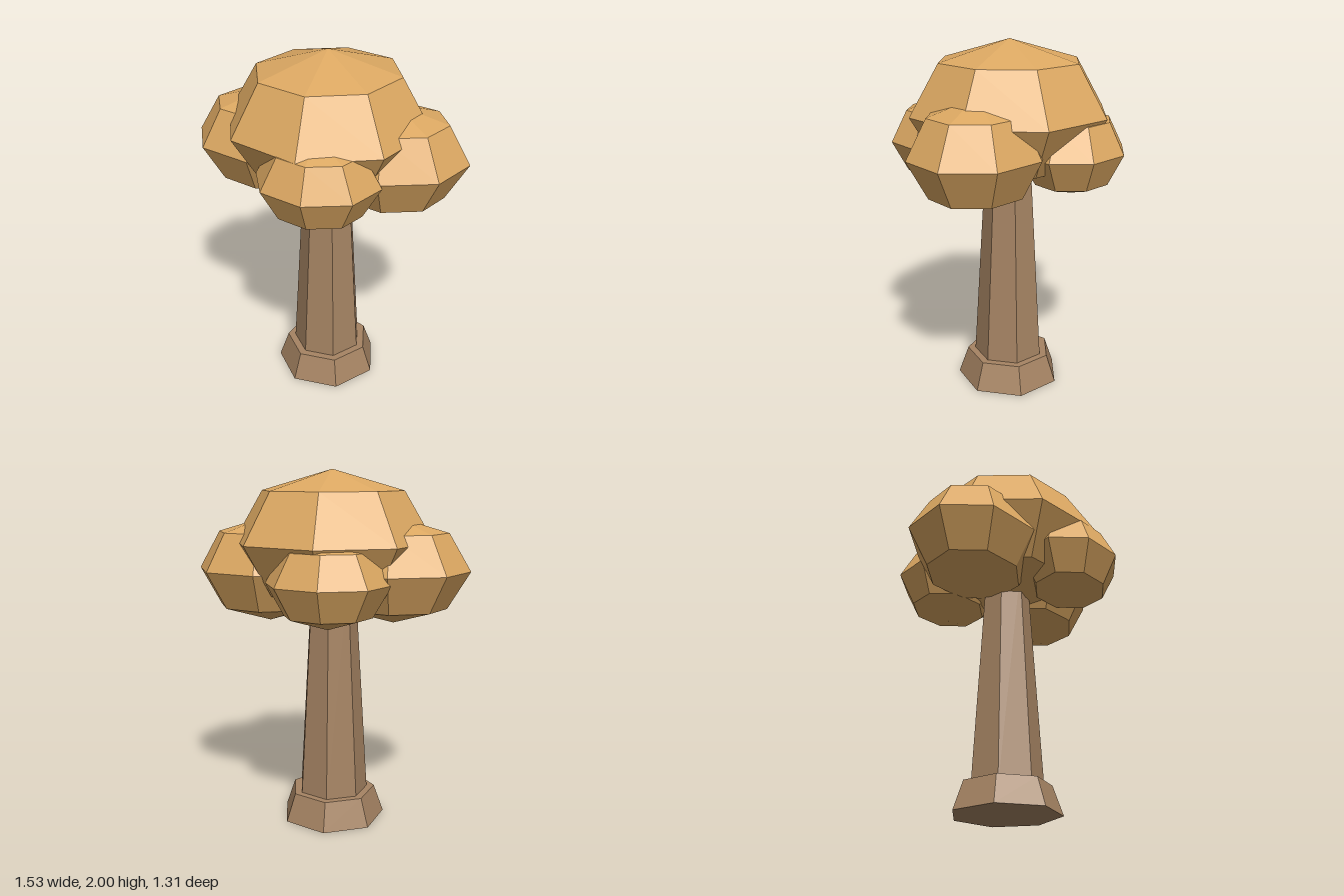
import * as THREE from 'three';

export function createModel() {
  const tree = new THREE.Group();
  tree.name = 'tree';

  const bark = new THREE.MeshStandardMaterial({ color: 0xa68463, flatShading: true });
  bark.name = 'bark';
  const foliage = new THREE.MeshStandardMaterial({ color: 0xdca862, flatShading: true });
  foliage.name = 'foliage';

  // Seven-sided tapered column with a flat side to the front
  function column(name, rTop, rBottom, y0, y1) {
    const geo = new THREE.CylinderGeometry(rTop, rBottom, y1 - y0, 7);
    geo.rotateY(Math.PI);
    const mesh = new THREE.Mesh(geo, bark);
    mesh.name = name;
    mesh.position.set(-0.008, (y0 + y1) / 2, -0.005);
    tree.add(mesh);
  }
  column('rootFlare', 0.246, 0.302, 0, 0.16);
  column('trunk', 0.128, 0.206, 0.1, 1.4);

  // Squashed eight-sided leaf clumps: name, centre, radii
  const clumps = [
    ['crown', [-0.007, 1.61, -0.008], [0.56, 0.39, 0.56]],
    ['leftClump', [0.355, 1.45, 0.003], [0.41, 0.295, 0.36]],
    ['rightClump', [-0.355, 1.46, -0.045], [0.415, 0.29, 0.36]],
    ['frontClump', [0.05, 1.44, 0.37], [0.332, 0.24, 0.285]],
    ['backClump', [-0.045, 1.42, -0.365], [0.332, 0.24, 0.29]],
  ];
  for (const [name, centre, radii] of clumps) {
    const geo = new THREE.SphereGeometry(1, 8, 4);
    geo.scale(...radii);
    const mesh = new THREE.Mesh(geo, foliage);
    mesh.name = name;
    mesh.position.set(...centre);
    tree.add(mesh);
  }
  return tree;
}
